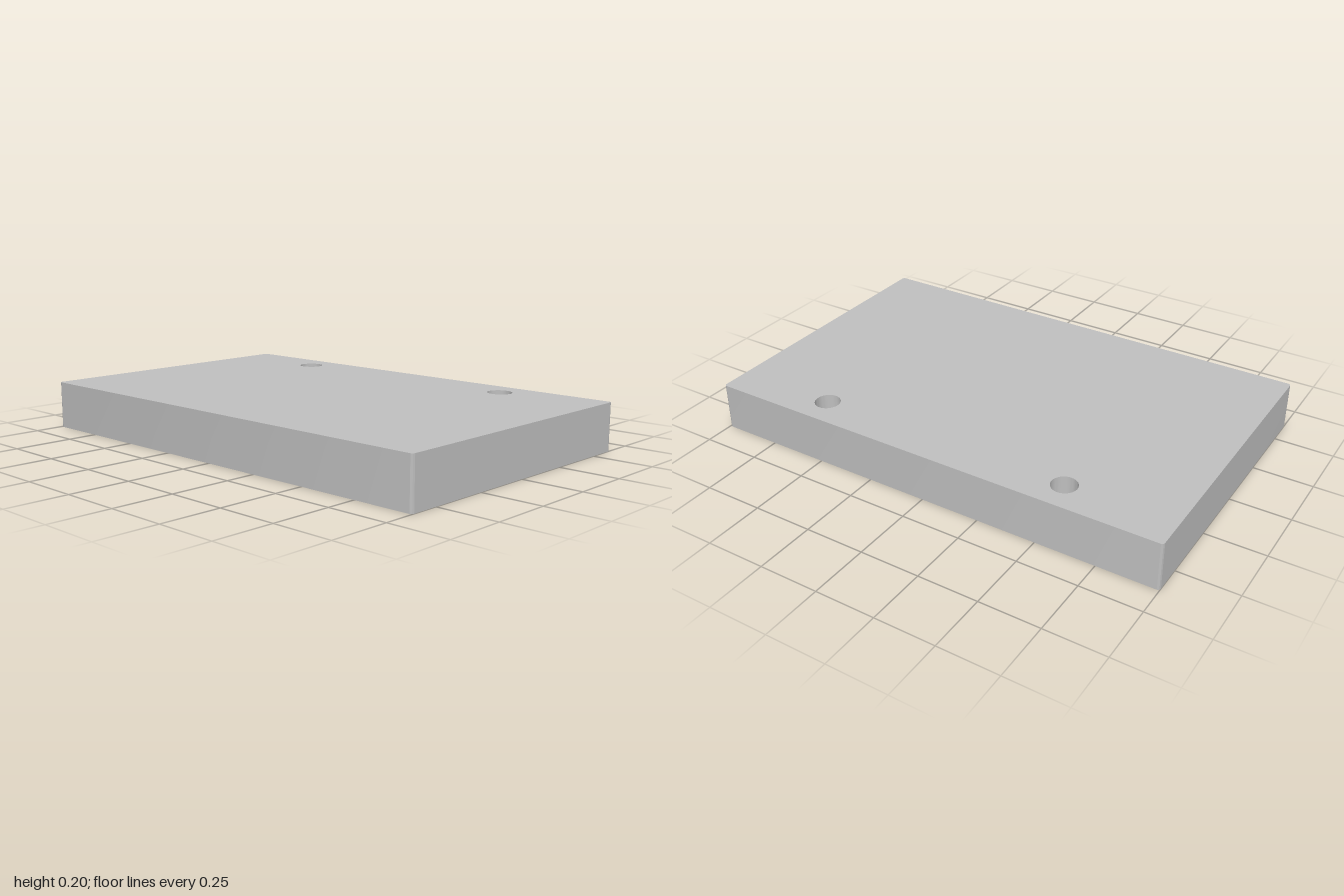
import * as THREE from 'three';
import { mergeGeometries, toCreasedNormals } from 'three/addons/utils/BufferGeometryUtils.js';

const W = 2, D = 1.25, H = 0.2;            // plate size
const POCKET_W = 1.5, POCKET_D = 0.75, POCKET_H = 0.15;
const CORNER = 0.0125, HOLE_R = 0.0525, HOLE_X = 0.55, HOLE_Z = -0.5;

// Plan outlines are drawn with their y pointing to the back (-z)
function rectangle(path, w, d, r) {
  const x = w / 2 - r, y = d / 2 - r;
  if (r === 0) {
    path.moveTo(-x, -y).lineTo(x, -y).lineTo(x, y).lineTo(-x, y).lineTo(-x, -y);
    return path;
  }
  path.absarc(x, -y, r, -Math.PI / 2, 0);
  path.absarc(x, y, r, 0, Math.PI / 2);
  path.absarc(-x, y, r, Math.PI / 2, Math.PI);
  path.absarc(-x, -y, r, Math.PI, Math.PI * 1.5);
  path.closePath();
  return path;
}

// Flat face at a height, facing up or down
function face(shape, height, up) {
  const g = new THREE.ShapeGeometry(shape, 24).toNonIndexed();
  g.deleteAttribute('uv');
  if (up) g.rotateX(-Math.PI / 2);
  else g.scale(1, -1, 1).rotateX(Math.PI / 2);
  if (!up) {
    // the mirrored corners are put back in order, so the face looks down
    const p = g.attributes.position;
    const a = new THREE.Vector3(), b = new THREE.Vector3();
    for (let i = 0; i < p.count; i += 3) {
      a.fromBufferAttribute(p, i + 1);
      b.fromBufferAttribute(p, i + 2);
      p.setXYZ(i + 1, b.x, b.y, b.z);
      p.setXYZ(i + 2, a.x, a.y, a.z);
    }
  }
  g.computeVertexNormals();
  return g;
}

// Upright wall along a closed outline, facing outward or inward
function wall(path, y0, y1, outward) {
  let pts = path.getPoints(24);
  if (THREE.ShapeUtils.isClockWise(pts) === outward) pts = pts.reverse();
  const pos = [];
  for (let i = 0; i < pts.length; i++) {
    const p = pts[i], q = pts[(i + 1) % pts.length];
    if (p.distanceTo(q) < 1e-6) continue;
    pos.push(p.x, y0, -p.y, q.x, y0, -q.y, q.x, y1, -q.y);
    pos.push(p.x, y0, -p.y, q.x, y1, -q.y, p.x, y1, -p.y);
  }
  const g = new THREE.BufferGeometry();
  g.setAttribute('position', new THREE.Float32BufferAttribute(pos, 3));
  g.computeVertexNormals();
  return g;
}

export function createModel() {
  const grey = new THREE.MeshStandardMaterial({ color: 0xbfbfbf });
  grey.name = 'grey';
  const model = new THREE.Group();
  model.name = 'mountingPlate';
  const add = (name, parts) => {
    const mesh = new THREE.Mesh(toCreasedNormals(mergeGeometries(parts), 0.6), grey);
    mesh.name = name;
    model.add(mesh);
  };

  const outline = () => rectangle(new THREE.Shape(), W, D, CORNER);
  const pocket = rectangle(new THREE.Shape(), POCKET_W, POCKET_D, 0);
  const holes = [-1, 1].map((s) => new THREE.Path().absarc(s * HOLE_X, -HOLE_Z, HOLE_R, 0, Math.PI * 2, true));

  // Outer body: top, underside rim and sides
  const top = outline(), rim = outline();
  top.holes.push(...holes);
  rim.holes.push(...holes, pocket);
  add('plateBody', [face(top, H, true).translate(0, H, 0), face(rim, 0, false), wall(outline(), 0, H, true)]);

  // Recess in the underside
  add('pocket', [face(pocket, POCKET_H, false).translate(0, POCKET_H, 0), wall(pocket, 0, POCKET_H, false)]);

  // Two through holes near the back edge
  holes.forEach((hole, i) => add(i ? 'leftHole' : 'rightHole', [wall(hole, 0, H, false)]));
  return model;
}
